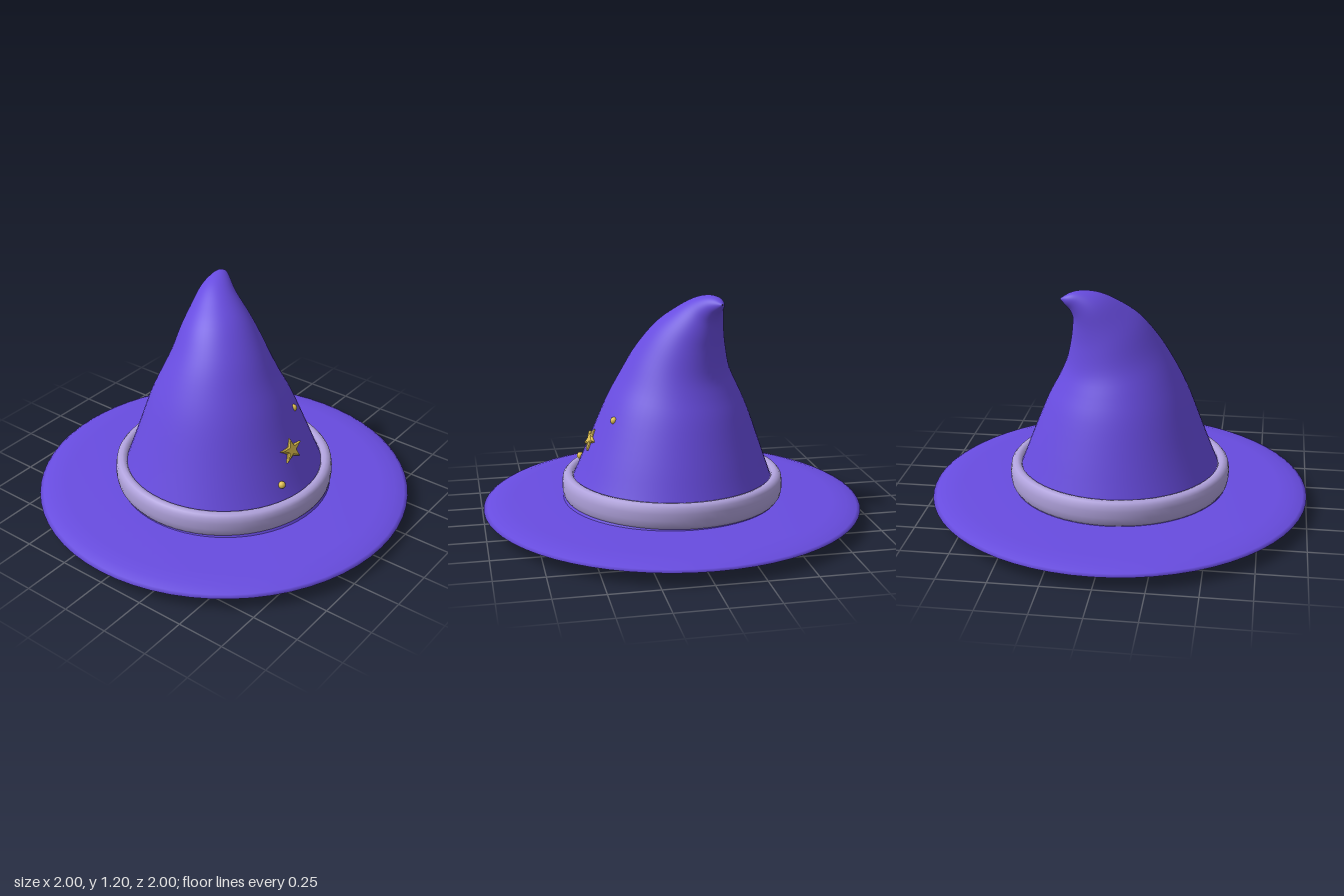
import * as THREE from 'three';

const SEG = 64;
const fabric = new THREE.MeshStandardMaterial({ color: 0x684ce0 });
fabric.name = 'purple fabric';
const ribbon = new THREE.MeshStandardMaterial({ color: 0xb0a2dc });
ribbon.name = 'lilac ribbon';
const gold = new THREE.MeshStandardMaterial({ color: 0xe0c050 });
gold.name = 'gold';

function lathe(profile) {
  return new THREE.LatheGeometry(profile.map(([r, y]) => new THREE.Vector2(r, y)), SEG);
}

// Rings along a bending spine: centre x, y, z, radius, lean of the ring toward x and z
const RINGS = [
  [0, 0.033, 0, 0.6, 0, -0.055],
  [0, 0.24, 0, 0.515, 0, 0],
  [0, 0.4, -0.01, 0.453, 0, -0.02],
  [0, 0.6, -0.022, 0.375, 0.03, -0.05],
  [0.005, 0.73, -0.034, 0.312, 0.09, -0.1],
  [0.025, 0.85, -0.048, 0.252, 0.2, -0.18],
  [0.055, 0.97, -0.08, 0.194, 0.28, -0.25],
  [0.1, 1.055, -0.115, 0.14, 0.45, -0.3],
  [0.143, 1.115, -0.145, 0.097, 0.76, -0.3],
  [0.195, 1.15, -0.168, 0.06, 1.35, -0.3],
  [0.238, 1.163, -0.187, 0.033, 2, -0.3],
  [0.272, 1.165, -0.2, 0.003, 2.2, -0.3],
];

function bentCone() {
  const curve = (pick) => new THREE.CatmullRomCurve3(
    RINGS.map((r) => new THREE.Vector3(...pick(r))), false, 'catmullrom');
  const spine = curve((r) => r.slice(0, 3));
  const shape = curve((r) => r.slice(3));
  const steps = (RINGS.length - 1) * 4;
  const up = new THREE.Vector3(0, 1, 0);
  const positions = [], index = [];
  for (let i = 0; i <= steps; i++) {
    const c = spine.getPoint(i / steps);
    const s = shape.getPoint(i / steps);
    const q = new THREE.Quaternion().setFromUnitVectors(up, new THREE.Vector3(s.y, 1, s.z).normalize());
    for (let j = 0; j < SEG; j++) {
      const a = (j / SEG) * Math.PI * 2;
      const p = new THREE.Vector3(Math.cos(a) * s.x, 0, Math.sin(a) * s.x).applyQuaternion(q).add(c);
      positions.push(p.x, p.y, p.z);
      if (i < steps) {
        const k = i * SEG + j, n = i * SEG + ((j + 1) % SEG);
        index.push(k, k + SEG, n, n, k + SEG, n + SEG);
      }
    }
  }
  const g = new THREE.BufferGeometry();
  g.setAttribute('position', new THREE.Float32BufferAttribute(positions, 3));
  g.setIndex(index);
  g.computeVertexNormals();
  return g;
}

// Five-pointed puffed star
function starGeometry() {
  const s = new THREE.Shape();
  for (let i = 0; i < 10; i++) {
    const a = Math.PI / 2 + (i * Math.PI) / 5 - 0.12;
    const r = i % 2 ? 0.034 : 0.08;
    s[i ? 'lineTo' : 'moveTo'](Math.cos(a) * r, Math.sin(a) * r * 0.7);
  }
  s.closePath();
  return new THREE.ExtrudeGeometry(s, {
    depth: 0.012, bevelEnabled: true, bevelSize: 0.008, bevelOffset: -0.004, bevelThickness: 0.006, bevelSegments: 1,
  });
}

export function createModel() {
  const model = new THREE.Group();
  model.name = 'pointedHat';
  const add = (name, geometry, material, x = 0, y = 0, z = 0) => {
    const m = new THREE.Mesh(geometry, material);
    m.name = name;
    m.position.set(x, y, z);
    model.add(m);
    return m;
  };

  // Brim with a thin rounded edge
  add('brim', lathe([
    [0, 0.03], [0.6, 0.03], [0.85, 0.034], [0.93, 0.045], [0.98, 0.06], [1, 0.068],
    [0.98, 0.077], [0.93, 0.092], [0.85, 0.1], [0.6, 0.106], [0.5, 0.108],
  ]), fabric);

  // Bent crown and its slightly tilted base
  add('crown', bentCone(), fabric);
  add('crownBase', new THREE.CircleGeometry(0.6, SEG), fabric, 0, 0.033, 0).rotation.x = Math.PI / 2 - 0.055;

  // Band around the crown
  add('band', lathe([
    [0.53, 0.112], [0.568, 0.112], [0.579, 0.13], [0.584, 0.16], [0.584, 0.195],
    [0.579, 0.222], [0.566, 0.237], [0.548, 0.241], [0.53, 0.237], [0.522, 0.22], [0.53, 0.112],
  ]), ribbon);

  // Gold ornaments on the front
  add('star', starGeometry(), gold, 0, 0.428, 0.428).rotation.x = -0.42;
  for (const [x, y, z] of [[0.16, 0.57, 0.333], [-0.133, 0.303, 0.473]]) {
    add('stud', new THREE.SphereGeometry(0.019, 16, 12), gold, x, y, z);
  }
  return model;
}
